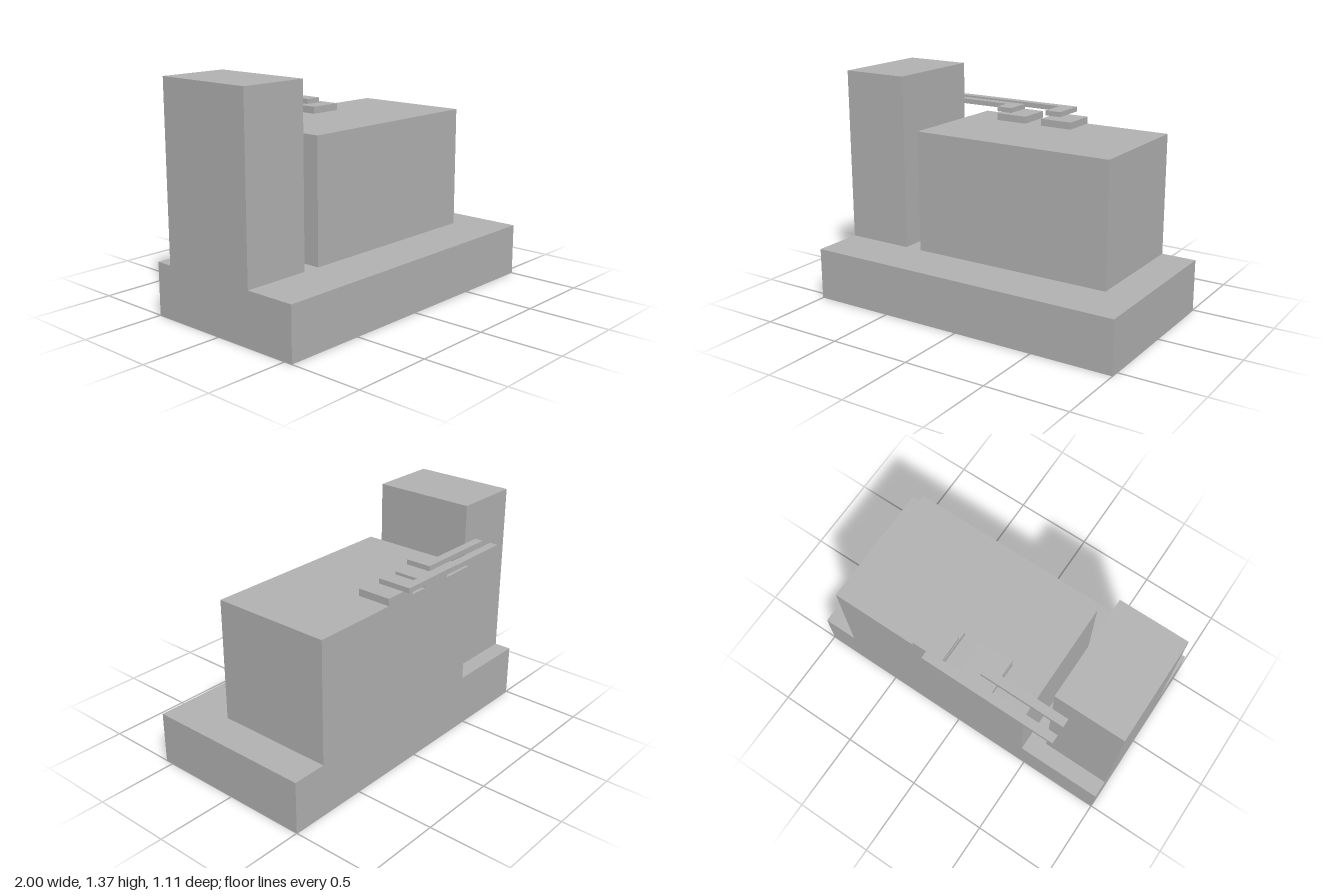
import * as THREE from 'three';

export function createModel() {
  const model = new THREE.Group();
  model.name = 'machine';
  const grey = new THREE.MeshStandardMaterial({ color: 0xb2b2b2 });
  grey.name = 'plain grey';

  // Box given by its extents on each axis
  function block(name, [x0, x1], [y0, y1], [z0, z1]) {
    const mesh = new THREE.Mesh(new THREE.BoxGeometry(x1 - x0, y1 - y0, z1 - z0), grey);
    mesh.position.set((x0 + x1) / 2, (y0 + y1) / 2, (z0 + z1) / 2);
    mesh.name = name;
    model.add(mesh);
  }

  // Flat L-shaped bar: a long arm along x with a short foot towards the front
  function bentBar(name, xStart, xFoot, xEnd, zBack, zArm, zFoot) {
    const outline = [
      [xStart, zBack], [xEnd, zBack], [xEnd, zFoot],
      [xFoot, zFoot], [xFoot, zArm], [xStart, zArm],
    ];
    const shape = new THREE.Shape(outline.map(([x, z]) => new THREE.Vector2(x, -z)));
    const geometry = new THREE.ExtrudeGeometry(shape, { depth: 0.03, bevelEnabled: false });
    geometry.rotateX(-Math.PI / 2);
    const mesh = new THREE.Mesh(geometry, grey);
    mesh.position.y = 1.11;
    mesh.name = name;
    model.add(mesh);
  }

  // Main masses
  block('base', [-1, 1], [0, 0.317], [-0.5, 0.552]);
  block('tower', [-1, -0.582], [0.317, 1.37], [-0.395, 0.237]);
  block('body', [-0.475, 0.787], [0.317, 1.055], [-0.5, 0.237]);

  // Pair of pads on the body
  block('rightPad', [-0.262, -0.057], [1.055, 1.098], [-0.5, -0.292]);
  block('leftPad', [0.053, 0.258], [1.055, 1.098], [-0.5, -0.292]);

  // Bars hovering above the pads
  bentBar('longBar', -0.685, 0.053, 0.155, -0.554, -0.502, -0.345);
  bentBar('shortBar', -0.685, -0.262, -0.16, -0.45, -0.398, -0.292);

  return model;
}
